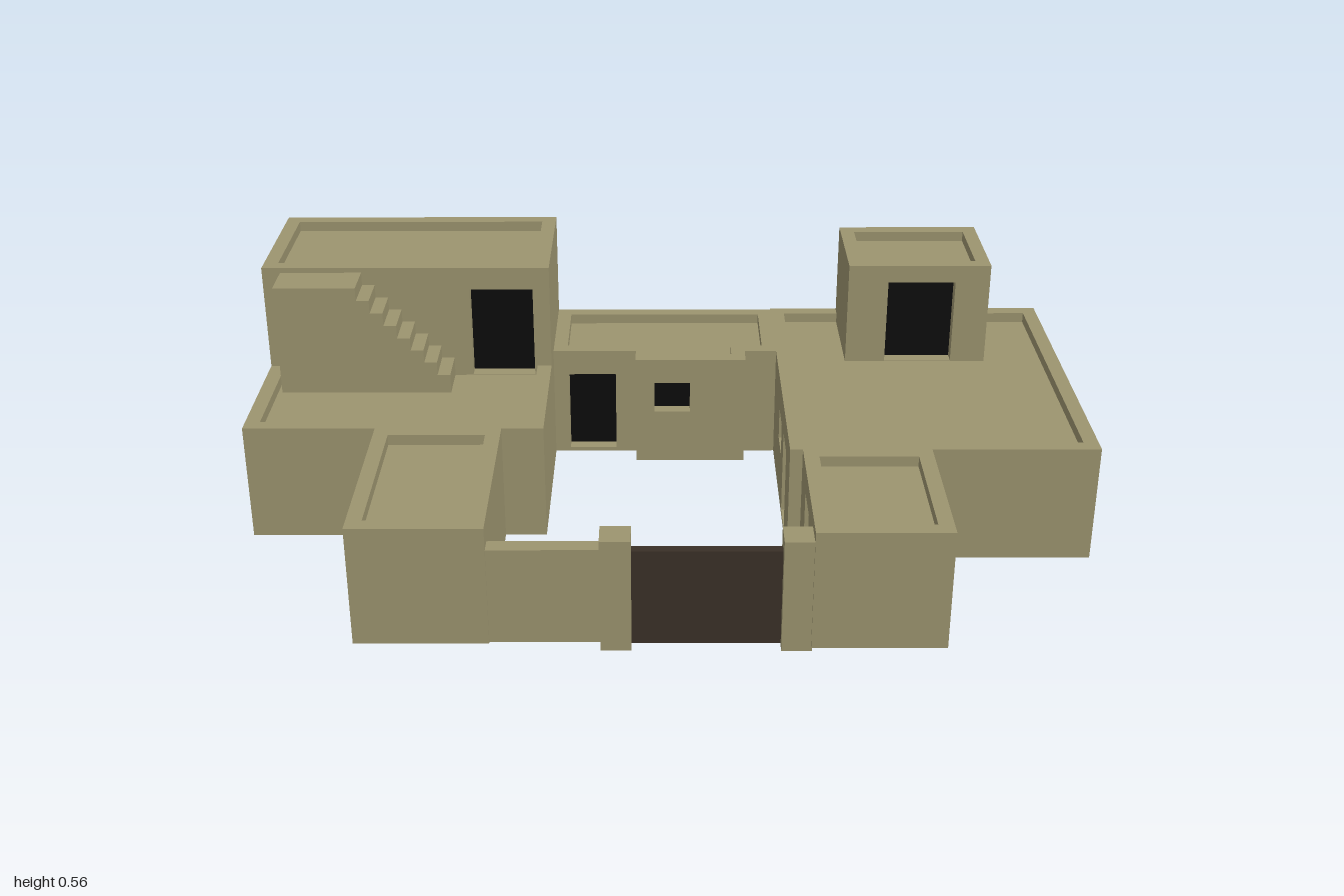
import * as THREE from 'three';

const clay = new THREE.MeshStandardMaterial({ color: 0x9c946f, flatShading: true });
const dark = new THREE.MeshStandardMaterial({ color: 0x0c0c0c });
const wood = new THREE.MeshStandardMaterial({ color: 0x3a3027 });
const T = 0.035; // wall thickness

const rect = (x0, x1, z0, z1) => [[x0, z1], [x1, z1], [x1, z0], [x0, z0]];
// sides of a rectangular plan
const FRONT = 0, RIGHT = 1, BACK = 2, LEFT = 3;

function box(name, x0, x1, y0, y1, z0, z1, material = clay) {
  const mesh = new THREE.Mesh(new THREE.BoxGeometry(x1 - x0, y1 - y0, z1 - z0), material);
  mesh.position.set((x0 + x1) / 2, (y0 + y1) / 2, (z0 + z1) / 2);
  mesh.name = name;
  return mesh;
}

function slab(name, plan, y, thickness) {
  const shape = new THREE.Shape(plan.map(([x, z]) => new THREE.Vector2(x, -z)));
  const geo = new THREE.ExtrudeGeometry(shape, { depth: thickness, bevelEnabled: false });
  geo.rotateX(-Math.PI / 2);
  const mesh = new THREE.Mesh(geo, clay);
  mesh.position.y = y;
  mesh.name = name;
  return mesh;
}

// A flat-roofed room: walls with recessed openings rise past the roof as a parapet.
// Each opening is [side, centre along x or z, width, bottom, top].
function room(name, plan, y0, y1, openings = []) {
  const group = new THREE.Group();
  group.name = name;
  const n = plan.length;
  const reflex = i => {
    const [p, q, r] = [plan[(i + n - 1) % n], plan[i], plan[(i + 1) % n]];
    return (q[0] - p[0]) * (q[1] - r[1]) - (p[1] - q[1]) * (r[0] - q[0]) < 0;
  };
  plan.forEach((a, i) => {
    const b = plan[(i + 1) % n];
    const dx = b[0] - a[0], dz = b[1] - a[1], length = Math.hypot(dx, dz);
    const u0 = reflex(i) ? -T : 0, u1 = length + (reflex((i + 1) % n) ? T : 0);
    const shape = new THREE.Shape([[u0, y0], [u1, y0], [u1, y1], [u0, y1]].map(p => new THREE.Vector2(...p)));
    const wall = new THREE.Group();
    wall.name = 'wall';
    wall.position.set(a[0], 0, a[1]);
    wall.rotation.y = Math.atan2(-dz, dx);
    for (const [side, centre, w, bottom, top] of openings) {
      if (side !== i) continue;
      const u = Math.abs(dx) > Math.abs(dz) ? Math.abs(centre - a[0]) : Math.abs(centre - a[1]);
      const l = u - w / 2, r = u + w / 2;
      shape.holes.push(new THREE.Path([[l, bottom], [l, top], [r, top], [r, bottom]].map(p => new THREE.Vector2(...p))));
      const pane = new THREE.Mesh(new THREE.PlaneGeometry(w, top - bottom), dark);
      pane.position.set(u, (bottom + top) / 2, -T + 0.003);
      pane.name = 'darkOpening';
      wall.add(pane);
    }
    const geo = new THREE.ExtrudeGeometry(shape, { depth: T, bevelEnabled: false });
    geo.translate(0, 0, -T);
    const face = new THREE.Mesh(geo, clay);
    face.name = 'wallFace';
    wall.add(face);
    group.add(wall);
  });
  group.add(slab('floor', plan, y0, 0.004), slab('roof', plan, y1 - 0.045, 0.02));
  return group;
}

export function createModel() {
  const model = new THREE.Group();
  model.name = 'courtyardHouse';
  const house = new THREE.Group();
  house.name = 'house';
  house.rotation.y = 0.026; // the plan sits slightly askew
  model.add(house);

  const base = 0.01, top = 0.295, upper = 0.25;

  // Ground floor
  house.add(
    room('westWing', rect(-0.985, -0.283, -0.593, 0.124), base, top,
      [-0.47, -0.28, -0.1].map(z => [LEFT, z, 0.09, 0.15, 0.21])),
    room('eastWing', rect(0.285, 0.995, -0.598, 0.234), base, top, [
      [RIGHT, 0.087, 0.118, 0.143, 0.25],
      [RIGHT, -0.187, 0.128, 0.143, 0.25],
      ...[0.775, 0.595, 0.42].map(x => [BACK, x, 0.09, 0.165, 0.222]),
      [LEFT, 0.07, 0.1, 0.02, 0.23],
      [LEFT, -0.09, 0.09, 0.14, 0.22],
    ]),
    room('rearHall', [
      [-0.283, -0.317], [-0.073, -0.317], [-0.073, -0.262], [0.205, -0.262],
      [0.205, -0.317], [0.285, -0.317], [0.285, -0.591], [-0.283, -0.591],
    ], base, top, [
      [0, -0.185, 0.12, 0.02, 0.23],
      [2, 0.02, 0.09, 0.15, 0.23],
    ]),
    room('westAnnex', rect(-0.676, -0.381, 0.124, 0.595), base, top, [[LEFT, 0.34, 0.1, 0.16, 0.235]]),
    room('eastAnnex', rect(0.314, 0.609, 0.234, 0.615), base, top, [[LEFT, 0.388, 0.1, 0.14, 0.24]]),
  );

  // Rooms on the roofs
  house.add(
    room('westUpperRoom', rect(-0.985, -0.283, -0.593, -0.228), upper, 0.557, [
      [FRONT, -0.402, 0.155, 0.272, 0.5],
      [BACK, -0.7, 0.11, 0.395, 0.48],
      [LEFT, -0.39, 0.1, 0.4, 0.485],
    ]),
    room('eastUpperRoom', rect(0.461, 0.815, -0.588, -0.309), upper, 0.53, [
      [FRONT, 0.645, 0.168, 0.272, 0.5],
    ]),
  );

  // Stair with a landing, against the west upper room
  const steps = 8, rise = 0.0325, tread = 0.031;
  const profile = new THREE.Shape();
  profile.moveTo(-0.94, upper);
  profile.lineTo(-0.94, 0.545);
  for (let i = 0; i < steps; i++) {
    const x = -0.742 + i * tread;
    profile.lineTo(x, 0.545 - i * rise);
    profile.lineTo(x, i === steps - 1 ? upper : 0.545 - (i + 1) * rise);
  }
  const stair = new THREE.Mesh(new THREE.ExtrudeGeometry(profile, { depth: 0.103, bevelEnabled: false }), clay);
  stair.position.z = -0.228;
  stair.name = 'stair';
  house.add(stair);

  // Courtyard wall and gate
  house.add(
    box('courtyardWall', -0.381, -0.14, base, 0.24, 0.552, 0.59),
    box('gatePost', -0.14, -0.073, 0, 0.27, 0.54, 0.607),
    box('gatePost', 0.25, 0.316, 0, 0.27, 0.542, 0.61),
    box('gate', -0.073, 0.25, 0.005, 0.235, 0.565, 0.587, wood),
  );
  return model;
}
